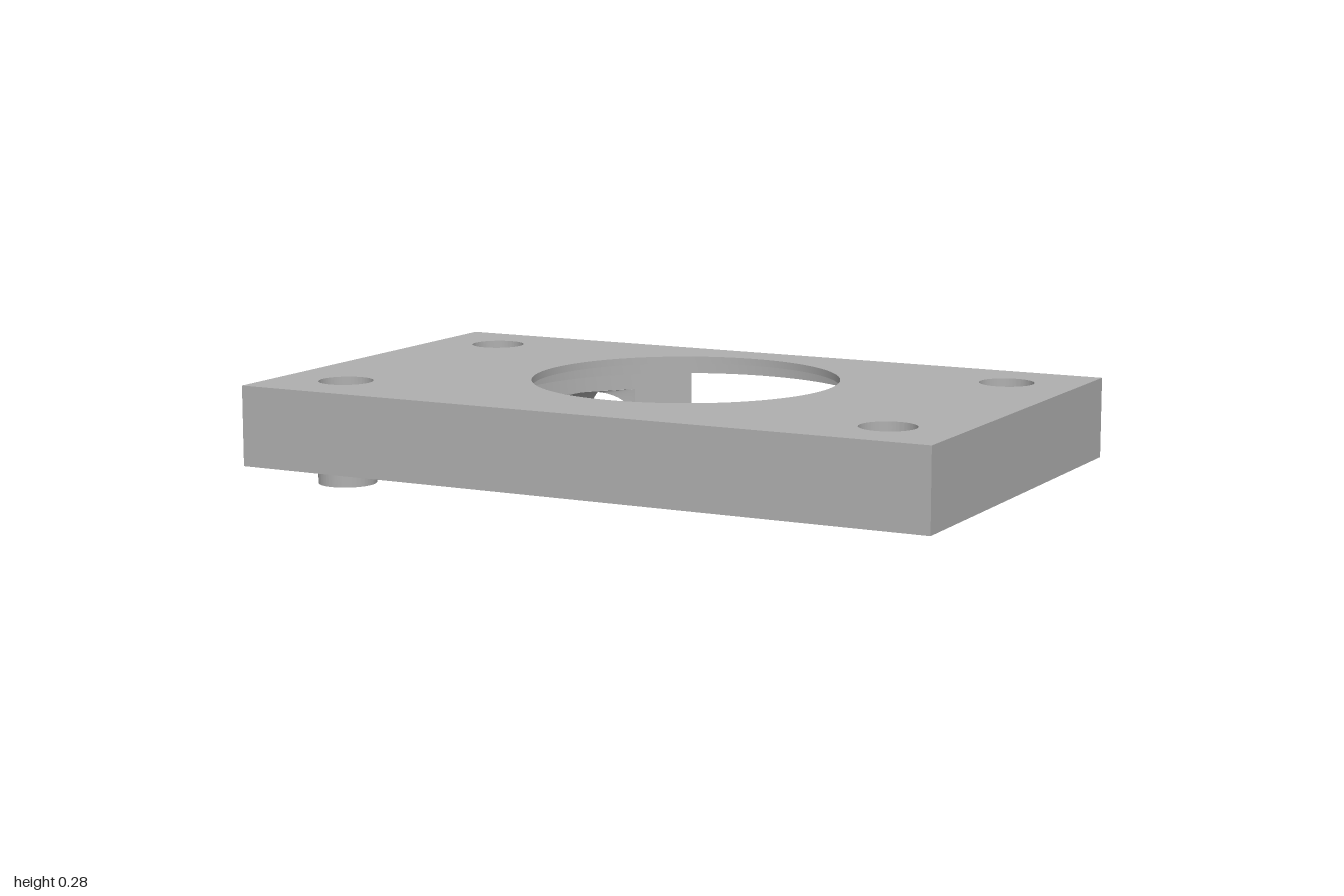
import * as THREE from 'three';
import { toCreasedNormals } from 'three/addons/utils/BufferGeometryUtils.js';

// Plan shapes use (x, s) with s = -z, so +s points to the back.
const POCKET_S = 0.06, POCKET_R = 0.6;
const BORE_R = 0.075, SCREW_R = 0.045, BOSS_R = 0.08;
const NOTCH_X = 0.5, NOTCH_R = 0.1, NOTCH_END = 0.3;
const CORNERS = [[0.8, 0.4, true], [-0.8, -0.4, true], [0.8, -0.4, false], [-0.8, 0.4, false]]; // x, s, has boss

function circle(x, s, r, Kind = THREE.Path) {
  const p = new Kind();
  p.absarc(x, s, r, 0, Math.PI * 2, false);
  return p;
}

function polygon(points) {
  return new THREE.Shape(points.map(([x, s]) => new THREE.Vector2(x, s)));
}

export function createModel() {
  const group = new THREE.Group();
  const grey = new THREE.MeshStandardMaterial({ color: 0xb0b0b0 });

  function add(name, geometry) {
    const mesh = new THREE.Mesh(toCreasedNormals(geometry, 0.5), grey);
    mesh.name = name;
    group.add(mesh);
  }

  function layer(name, shape, y0, y1, holes = []) {
    shape.holes.push(...holes);
    const g = new THREE.ExtrudeGeometry(shape, { depth: y1 - y0, bevelEnabled: false, curveSegments: 72 });
    g.rotateX(-Math.PI / 2);
    g.translate(0, y0, 0);
    add(name, g);
  }

  const cornerHoles = (radius) => CORNERS.map(([x, s, boss]) => circle(x, s, radius(boss)));
  const bores = () => cornerHoles(() => BORE_R);
  const rectangle = () => polygon([[-1, -0.6], [1, -0.6], [1, 0.6], [-1, 0.6]]);

  // Top lip and the stepped recess under it
  layer('topLip', rectangle(), 0.26, 0.28, [circle(0, POCKET_S, 0.42), ...bores()]);
  layer('recessStep', rectangle(), 0.22, 0.26, [circle(0, POCKET_S, 0.5), ...bores()]);

  // Wide pocket that breaks out through the back edge
  const openAngle = Math.asin((0.6 - POCKET_S) / POCKET_R);
  const openX = POCKET_R * Math.cos(openAngle);
  const pocketed = polygon([[-openX, 0.6], [-1, 0.6], [-1, -0.6], [1, -0.6], [1, 0.6], [openX, 0.6]]);
  pocketed.absarc(0, POCKET_S, POCKET_R, openAngle, Math.PI - openAngle, true);
  layer('pocketWall', pocketed, 0.16, 0.22, bores());

  // Lower body, leaving room for the two cable notches
  const endAngle = Math.asin((NOTCH_END - POCKET_S) / POCKET_R);
  function lowerBody() {
    const s = polygon([[-0.6, NOTCH_END], [-0.6, 0.6], [-1, 0.6], [-1, -0.6],
      [1, -0.6], [1, 0.6], [0.6, 0.6], [0.6, NOTCH_END]]);
    s.absarc(0, POCKET_S, POCKET_R, endAngle, Math.PI - endAngle, true);
    return s;
  }
  layer('screwSeat', lowerBody(), 0.12, 0.16, cornerHoles(() => SCREW_R));
  layer('lowerBody', lowerBody(), 0.06, 0.12, cornerHoles((boss) => (boss ? SCREW_R : BOSS_R)));

  const innerX = NOTCH_X - NOTCH_R;
  const toothAngle = Math.acos(innerX / POCKET_R);
  for (const side of [1, -1]) {
    const label = side > 0 ? 'left' : 'right';

    // Pointed tooth between the notch and the back opening
    const tooth = polygon([[side * openX, 0.6], [side * innerX, 0.6]]);
    const turn = (a) => (side > 0 ? a : Math.PI - a);
    tooth.absarc(0, POCKET_S, POCKET_R, turn(toothAngle), turn(openAngle), side < 0);
    layer(label + 'Tooth', tooth, 0.06, 0.16);

    // Arched roof of the notch, trimmed where it meets the pocket
    const arch = [], roof = [], steps = 32;
    for (let i = 0; i <= steps; i++) {
      const t = Math.PI * (1 - i / steps);
      const x = side * NOTCH_X + NOTCH_R * Math.cos(t);
      arch.push([x, 0.06 + NOTCH_R * Math.sin(t)]);
      if (i !== steps / 2) roof.unshift([x, 0.1601]);
    }
    const g = new THREE.ExtrudeGeometry(polygon([...arch, ...roof]), { depth: 1, bevelEnabled: false });
    const p = g.attributes.position;
    for (let i = 0; i < p.count; i++) {
      const x = p.getX(i);
      const edge = POCKET_S + Math.sqrt(Math.max(0, POCKET_R ** 2 - x * x));
      p.setZ(i, p.getZ(i) > 0.5 ? -Math.max(NOTCH_END, edge) : -0.6);
    }
    add(label + 'NotchArch', g);
  }

  // Locating bosses on one diagonal; the other diagonal has matching sockets
  for (const [x, s, boss] of CORNERS) {
    if (boss) layer('locatingBoss', circle(x, s, BOSS_R, THREE.Shape), 0, 0.06, [circle(x, s, SCREW_R)]);
  }
  return group;
}
